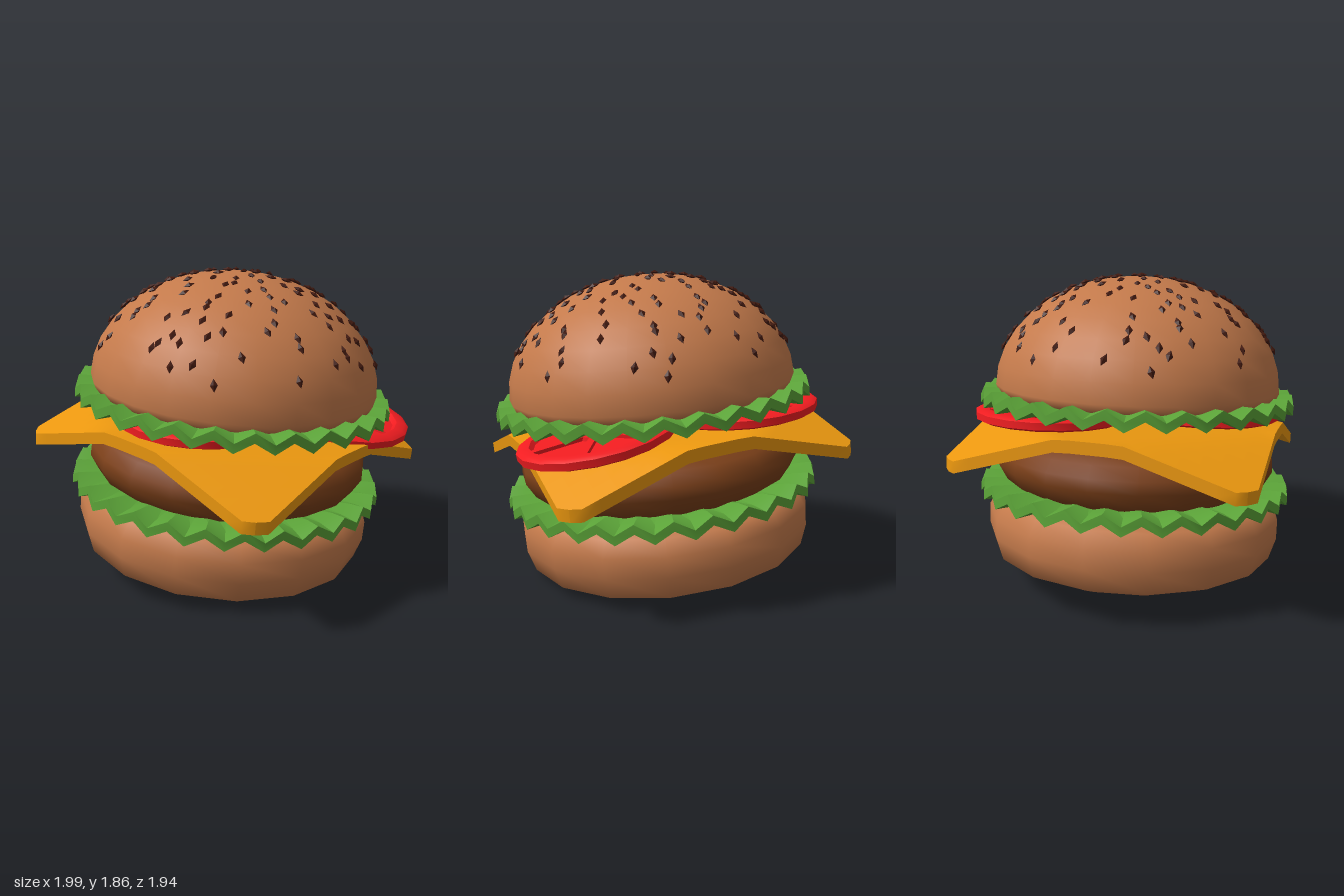
import * as THREE from 'three';
import { mergeGeometries, toCreasedNormals } from 'three/addons/utils/BufferGeometryUtils.js';

const material = (color) => new THREE.MeshStandardMaterial({ color });
const BUN = material(0xc47a4b), PATTY = material(0x7c4019), CHEESE = material(0xec980f);
const LETTUCE = material(0x5ba338), TOMATO = material(0xf01c20), SEED = material(0x421a10);

function mesh(name, geometry, mat) {
  const m = new THREE.Mesh(geometry, mat);
  m.name = name;
  return m;
}

// Profiles run from the bottom centre, outwards and up to the top centre
function lathe(profile, sides) {
  return new THREE.LatheGeometry(profile.map(([r, y]) => new THREE.Vector2(r, y)), sides);
}

// Move every vertex of a geometry by a rule
function deform(geometry, rule) {
  const pos = geometry.attributes.position;
  const p = new THREE.Vector3();
  for (let i = 0; i < pos.count; i++) {
    rule(p.fromBufferAttribute(pos, i));
    pos.setXYZ(i, p.x, p.y, p.z);
  }
  geometry.computeVertexNormals();
  return geometry;
}

// Domed top bun: an ellipse of radius R and height H standing on BASE
const R = 0.88, H = 0.67, BASE = 1.1;
function topBun() {
  const profile = [[0, 1.03], [0.8, 1.03], [0.86, 1.055]];
  for (let i = 0; i <= 9; i++) {
    const a = (i / 9) * Math.PI / 2;
    profile.push([i === 9 ? 0 : R * Math.cos(a), BASE + H * Math.sin(a)]);
  }
  return mesh('topBun', lathe(profile, 24), BUN);
}

// Sesame seeds scattered in a jittered spiral, each lying along the dome
function sesameSeeds() {
  let s = 7;
  const random = () => (s = (s * 16807) % 2147483647) / 2147483647;
  const count = 155, seeds = [];
  for (let i = 0; i < count; i++) {
    const r = 0.85 * Math.sqrt((i + random()) / count);
    const theta = i * 2.39996 + (random() - 0.5) * 0.5;
    const a = Math.acos(r / R);
    const around = new THREE.Vector3(Math.cos(theta), 0, -Math.sin(theta));
    const out = new THREE.Vector3(Math.sin(theta), 0, Math.cos(theta));
    const normal = out.clone().multiplyScalar(Math.cos(a) / R);
    normal.y = Math.sin(a) / H;
    normal.normalize();
    const down = new THREE.Vector3().crossVectors(around, normal);
    const place = new THREE.Matrix4().makeBasis(around, normal, down);
    place.setPosition(out.multiplyScalar(r).setY(BASE + H * Math.sin(a)).addScaledVector(normal, 0.006));
    const seed = new THREE.OctahedronGeometry(1).scale(0.021, 0.014, 0.036);
    seed.rotateY((random() - 0.5) * 0.7);
    seeds.push(seed.applyMatrix4(place));
  }
  return mesh('sesameSeeds', mergeGeometries(seeds), SEED);
}

// Lettuce leaf: a thin disc whose rim zigzags up and down
function lettuce(name, y) {
  const teeth = 28;
  const disc = lathe([[0, -0.025], [0.65, -0.025], [0.97, -0.03], [0.97, 0.025], [0.86, 0.03], [0.65, 0.025], [0, 0.025]], teeth * 2);
  deform(disc, (p) => {
    const r = Math.hypot(p.x, p.z);
    const wave = Math.cos(teeth * Math.atan2(p.x, p.z));
    p.y -= 0.028 * wave * Math.max(0, (r - 0.65) / 0.32);
    const pull = r > 0.9 ? 0.99 + 0.01 * wave : 1;
    p.x *= pull;
    p.z *= pull;
  });
  const leaf = mesh(name, toCreasedNormals(disc, 0.6), LETTUCE);
  leaf.position.y = y;
  return leaf;
}

// Square cheese slice with clipped corners that droop over the patty
function cheese() {
  const slice = new THREE.BoxGeometry(1.79, 0.07, 1.79, 18, 1, 18);
  deform(slice, (p) => {
    const reach = Math.abs(p.x) + Math.abs(p.z);
    const clip = Math.min(1, 1.7 / reach);
    p.x *= clip;
    p.z *= clip;
    p.y -= 0.3 * Math.max(0, Math.min(reach, 1.7) - 1.08);
  });
  const m = mesh('cheese', slice, CHEESE);
  m.position.y = 0.865;
  return m;
}

// Tomato slice: raised rim, hub and spokes around a recessed middle
function tomato(name, x, y, z, tilt) {
  const body = lathe([[0, -0.035], [0.42, -0.035], [0.455, -0.02], [0.455, 0.02], [0.43, 0.035], [0.38, 0.035], [0.36, 0.01], [0, 0.01]], 18);
  const parts = [toCreasedNormals(body, 0.7)];
  for (let i = 0; i < 6; i++) {
    const spoke = new THREE.BoxGeometry(0.3, 0.03, 0.045).translate(0.22, 0.015, 0);
    parts.push(spoke.rotateY(i * Math.PI / 3).toNonIndexed());
  }
  parts.push(new THREE.CylinderGeometry(0.09, 0.1, 0.035, 12).translate(0, 0.015, 0).toNonIndexed());
  const m = mesh(name, mergeGeometries(parts), TOMATO);
  m.position.set(x, y, z);
  m.rotation.z = tilt;
  return m;
}

export function createModel() {
  const model = new THREE.Group();
  model.name = 'hamburger';

  // The whole stack leans towards +x
  const stack = new THREE.Group();
  stack.name = 'stack';
  stack.position.set(-0.09, 0.078, 0);
  stack.rotation.z = -0.107;
  model.add(stack);

  const bottomBun = lathe([[0, 0], [0.55, 0], [0.74, 0.005], [0.88, 0.07], [0.92, 0.2], [0.92, 0.32], [0.87, 0.41], [0.75, 0.45], [0, 0.45]], 16);
  const patty = lathe([[0, 0.48], [0.74, 0.48], [0.82, 0.53], [0.87, 0.62], [0.865, 0.69], [0.82, 0.76], [0.7, 0.82], [0, 0.83]], 20);

  stack.add(
    mesh('bottomBun', bottomBun, BUN),
    lettuce('lowerLettuce', 0.48),
    mesh('patty', patty, PATTY),
    cheese(),
    tomato('frontTomato', 0.06, 0.955, 0.43, 0),
    tomato('leftTomato', 0.52, 0.93, -0.4, -0.1),
    tomato('rightTomato', -0.39, 0.945, -0.41, 0),
    lettuce('upperLettuce', 1.035),
    topBun(),
    sesameSeeds(),
  );
  return model;
}
